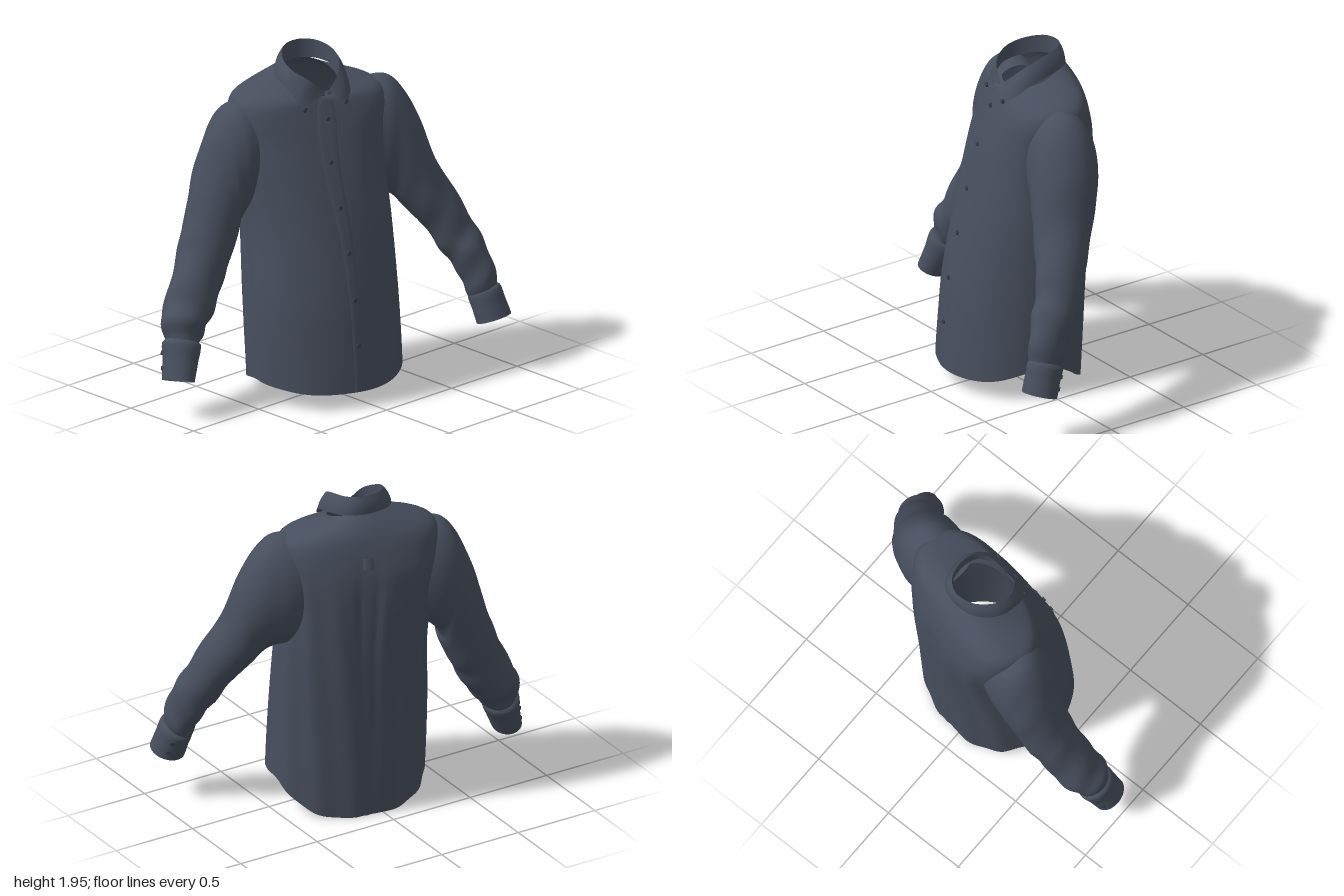
import * as THREE from 'three';

const fabric = new THREE.MeshStandardMaterial({ color: 0x474e5d, side: THREE.DoubleSide });
fabric.name = 'slate fabric';
const buttonMat = new THREE.MeshStandardMaterial({ color: 0x363c48 });
buttonMat.name = 'dark button';

const V = (x, y, z) => new THREE.Vector3(x, y, z);

// smooth lookup in rows of [key, ...values]
function sample(rows, k) {
  const n = rows.length;
  let i = 0;
  while (i < n - 2 && k > rows[i + 1][0]) i++;
  const p0 = rows[Math.max(i - 1, 0)], p1 = rows[i], p2 = rows[i + 1], p3 = rows[Math.min(i + 2, n - 1)];
  const h = p2[0] - p1[0];
  const t = Math.min(Math.max((k - p1[0]) / h, 0), 1), t2 = t * t, t3 = t2 * t;
  return p1.slice(1).map((_, j) => {
    const c = j + 1;
    const m1 = (p2[c] - p0[c]) / (p2[0] - p0[0]) * h, m2 = (p3[c] - p1[c]) / (p3[0] - p1[0]) * h;
    return (2 * t3 - 3 * t2 + 1) * p1[c] + (t3 - 2 * t2 + t) * m1 + (3 * t2 - 2 * t3) * p2[c] + (t3 - t2) * m2;
  });
}

// surface from a rule fn(u, v), u and v in 0..1
function surface(nu, nv, closed, fn) {
  const pos = [], idx = [], cols = closed ? nu : nu + 1;
  for (let j = 0; j <= nv; j++)
    for (let i = 0; i < cols; i++) pos.push(...fn(i / nu, j / nv).toArray());
  for (let j = 0; j < nv; j++)
    for (let i = 0; i < nu; i++) {
      const a = j * cols + i, b = j * cols + (i + 1) % cols, c = a + cols, d = b + cols;
      idx.push(a, b, d, a, d, c);
    }
  const g = new THREE.BufferGeometry();
  g.setAttribute('position', new THREE.Float32BufferAttribute(pos, 3));
  g.setIndex(idx);
  g.computeVertexNormals();
  return g;
}

// torso sections: height, centre x, centre z, half width, half depth, turn, tilt, back and front roundness
const torsoRows = [
  [0.00, 0.018, 0.00, 0.445, 0.387, 0.20, 0, 0.90, 1.04],
  [0.30, 0.018, -0.02, 0.445, 0.385, 0.20, 0, 0.89, 1.02],
  [0.60, 0.02, -0.045, 0.438, 0.378, 0.21, 0, 0.87, 0.98],
  [1.00, 0.035, -0.10, 0.42, 0.35, 0.26, 0, 0.82, 0.90],
  [1.30, 0.03, -0.152, 0.418, 0.318, 0.31, 0, 0.75, 0.82],
  [1.50, 0.035, -0.18, 0.435, 0.285, 0.33, 0, 0.73, 0.78],
  [1.62, 0.04, -0.185, 0.45, 0.255, 0.32, 0.03, 0.76, 0.78],
  [1.70, 0.04, -0.185, 0.435, 0.23, 0.30, 0.07, 0.82, 0.84],
  [1.74, 0.04, -0.18, 0.37, 0.213, 0.28, 0.12, 0.88, 0.90],
  [1.77, 0.035, -0.173, 0.27, 0.19, 0.28, 0.22, 0.95, 0.95],
  [1.80, 0.03, -0.165, 0.17, 0.16, 0.28, 0.35, 1, 1],
];
const spow = (s, e) => Math.sign(s) * Math.abs(s) ** e;

// point on the torso; angle 0 is the front, +90 degrees the wearer's left
function torsoPoint(ang, y, off = 0) {
  const [cx, cz, a, b, turn, tilt, eBack, eFront] = sample(torsoRows, y);
  const s = Math.sin(ang), c = Math.cos(ang), e = c > 0 ? eFront : eBack;
  const fade = Math.min(1, Math.max(0, (1.6 - y) * 4));
  const pleat = Math.abs(Math.abs(ang - Math.PI) - 0.05);
  const drape = c < 0.3 ? 0.005 * Math.sin(ang * 13 + y * 2) : 0.003 * Math.sin(ang * 7 + y * 4);
  const groove = 0.006 + 0.01 * Math.max(0, y - 0.6);
  const r = off + fade * (drape * Math.min(1, Math.abs(c - 0.3) * 3) - groove * Math.exp(-((pleat / 0.03) ** 2)));
  const lx = a * spow(s, e) + r * s, lz = b * spow(c, e) + r * c;
  const z = lx * Math.sin(turn) + lz * Math.cos(turn);
  return V(cx + lx * Math.cos(turn) - lz * Math.sin(turn), y - tilt * z, cz + z);
}

// curved shirt-tail hem
function hemY(ang) {
  const s = Math.sin(ang), c = Math.cos(ang), side = Math.abs(s) ** (c < 0 ? 3.5 : 5);
  const base = 0.046 + 0.046 * Math.tanh(c * 4);
  return base * (1 - side) + (0.155 + 0.03 * s) * side;
}

// point on the front of the torso at a given x, lifted forward
function onFront(x, y, lift) {
  let lo = -1.5, hi = 1.5;
  for (let i = 0; i < 30; i++) {
    const m = (lo + hi) / 2;
    if (torsoPoint(m, y).x < x) lo = m; else hi = m;
  }
  return torsoPoint(lo, y).add(V(0, 0, lift));
}

// sleeve sections: key, outer x, y, inner x, y, centre z, half depth
const leftSleeve = [
  [0, 0.31, 1.69, 0.34, 1.14, -0.10, 0.175], [1, 0.48, 1.715, 0.42, 1.05, -0.06, 0.195],
  [2, 0.59, 1.64, 0.49, 1.03, -0.015, 0.19], [3, 0.685, 1.44, 0.53, 0.98, 0.035, 0.176],
  [4, 0.745, 1.20, 0.585, 0.90, 0.09, 0.158], [5, 0.83, 1.02, 0.64, 0.82, 0.15, 0.14],
  [6, 0.89, 0.84, 0.69, 0.71, 0.215, 0.128], [7, 0.935, 0.70, 0.735, 0.62, 0.28, 0.125],
  [8, 0.945, 0.55, 0.77, 0.52, 0.335, 0.115], [9, 0.95, 0.44, 0.795, 0.43, 0.365, 0.095],
];
const leftCuff = [
  [0, 0.945, 0.475, 0.81, 0.45, 0.355, 0.08], [0.2, 0.965, 0.46, 0.79, 0.435, 0.362, 0.105],
  [1, 0.98, 0.39, 0.795, 0.36, 0.39, 0.103], [2, 1.00, 0.30, 0.80, 0.28, 0.42, 0.10],
];
const rightSleeve = [
  [0, -0.23, 1.69, -0.27, 1.14, -0.275, 0.18], [1, -0.39, 1.705, -0.355, 1.05, -0.312, 0.195],
  [2, -0.495, 1.615, -0.41, 0.98, -0.328, 0.185], [3, -0.57, 1.44, -0.42, 0.92, -0.335, 0.17],
  [4, -0.63, 1.26, -0.45, 0.85, -0.33, 0.16], [5, -0.69, 1.08, -0.51, 0.73, -0.325, 0.15],
  [6, -0.75, 0.92, -0.57, 0.63, -0.31, 0.14], [7, -0.86, 0.71, -0.65, 0.51, -0.29, 0.135],
  [8, -0.93, 0.58, -0.71, 0.44, -0.27, 0.122], [9, -0.935, 0.46, -0.765, 0.39, -0.25, 0.10],
];
const rightCuff = [
  [0, -0.93, 0.465, -0.775, 0.405, -0.255, 0.08], [0.2, -0.952, 0.45, -0.758, 0.375, -0.248, 0.11],
  [1, -0.97, 0.36, -0.80, 0.29, -0.225, 0.105], [2, -1.00, 0.25, -0.85, 0.195, -0.20, 0.10],
];

function tubePoint(rows, ang, v, wrinkle) {
  const last = rows[rows.length - 1][0], k = v * last;
  const mid = q => { const w = sample(rows, q); return V((w[0] + w[2]) / 2, (w[1] + w[3]) / 2, w[4]); };
  const w = sample(rows, k), c = mid(k);
  const dir = mid(Math.min(k + 0.3, last)).sub(mid(Math.max(k - 0.3, 0)));
  const a = V((w[0] - w[2]) / 2, (w[1] - w[3]) / 2, 0);
  const b = V(0, 0, 0).crossVectors(a, dir).normalize().multiplyScalar(w[5]);
  if (b.z < 0) b.negate();
  // folds deepen towards the elbow and wrist
  const amp = wrinkle * (0.008 + 0.045 * THREE.MathUtils.smoothstep(v, 0.45, 0.8));
  const f = 1 + amp * (Math.sin(v * 42 + 2.2 * Math.sin(ang + 0.6)) * 0.7 + Math.sin(v * 25 - 3 * Math.cos(ang)) * 0.5);
  return c.addScaledVector(a, Math.cos(ang) * f).addScaledVector(b, Math.sin(ang) * f);
}

export function createModel() {
  const shirt = new THREE.Group();
  shirt.name = 'shirt';
  const add = (name, geo, mat = fabric) => {
    const m = new THREE.Mesh(geo, mat);
    m.name = name;
    shirt.add(m);
    return m;
  };
  const buttonGeo = new THREE.CylinderGeometry(0.012, 0.014, 0.012, 14);
  const addButton = (name, p, normal) => {
    const m = add(name, buttonGeo, buttonMat);
    m.position.copy(p);
    m.quaternion.setFromUnitVectors(V(0, 1, 0), normal.normalize());
  };
  const TAU = Math.PI * 2;

  // body
  add('torso', surface(180, 100, true, (u, v) => {
    const h = hemY(u * TAU);
    return torsoPoint(u * TAU, h + v * (1.8 - h));
  }));

  // button placket and its buttons
  const placketAngle = y => -0.05 + 0.06 * y / 1.7;
  add('placket', surface(6, 50, false, (u, v) => {
    const y = 0.095 + v * 1.635;
    return torsoPoint(placketAngle(y) + (u - 0.5) * 0.15, y, u === 0 || u === 1 ? 0 : 0.004);
  }));
  for (const y of [0.36, 0.62, 0.88, 1.13, 1.38, 1.62])
    addButton('frontButton', torsoPoint(placketAngle(y), y, 0.007), V(-0.22, 0.2, 1));

  // locker loop at the top of the back pleat
  add('backLoop', surface(4, 8, false, (u, v) =>
    torsoPoint(Math.PI + (u - 0.5) * 0.05, 1.56 + v * 0.06, u === 0 || u === 1 ? 0 : 0.008)));

  // sleeves, cuffs and cuff buttons
  for (const [side, sleeve, cuff] of [['left', leftSleeve, leftCuff], ['right', rightSleeve, rightCuff]]) {
    add(side + 'Sleeve', surface(44, 90, true, (u, v) => tubePoint(sleeve, u * TAU, v, 1)));
    add(side + 'Cuff', surface(36, 20, true, (u, v) => tubePoint(cuff, u * TAU, v, 0)));
    for (const v of [0.35, 0.72]) {
      const p = tubePoint(cuff, -0.95, v, 0);
      addButton(side + 'CuffButton', p, p.clone().sub(tubePoint(cuff, Math.PI - 0.95, v, 0)));
    }
  }

  // collar from the right tip round the neck to the left tip
  const rightTip = onFront(-0.15, 1.675, 0.008), leftTip = onFront(0.095, 1.688, 0.008);
  const fold = new THREE.CatmullRomCurve3([
    V(-0.01, 1.75, 0.015), V(-0.095, 1.83, -0.02), V(-0.14, 1.88, -0.11), V(-0.115, 1.915, -0.21), V(-0.02, 1.945, -0.3),
    V(0.09, 1.95, -0.31), V(0.16, 1.947, -0.25), V(0.18, 1.93, -0.14), V(0.16, 1.89, -0.05), V(0.1, 1.825, 0.005), V(0.015, 1.75, 0.02),
  ]);
  const edge = new THREE.CatmullRomCurve3([
    rightTip, onFront(-0.175, 1.755, 0.01), V(-0.185, 1.79, -0.12), V(-0.155, 1.82, -0.23), V(-0.05, 1.845, -0.325),
    V(0.1, 1.85, -0.33), V(0.19, 1.85, -0.28), V(0.222, 1.825, -0.14), V(0.205, 1.79, -0.04), onFront(0.16, 1.76, 0.01), leftTip,
  ]);
  add('collarLeaf', surface(80, 8, false, (u, v) => {
    const t = fold.getPoint(u), p = t.clone().lerp(edge.getPoint(u), v);
    const out = V(t.x - 0.03, 0.05, t.z + 0.16).normalize();
    return p.addScaledVector(out, 0.008 * Math.sin(v * Math.PI));
  }));
  add('collarStand', surface(80, 4, false, (u, v) => {
    const t = fold.getPoint(u);
    return V(t.x, t.y - v * (0.11 - 0.07 * (2 * u - 1) ** 2), t.z);
  }));
  for (const tip of [rightTip, leftTip])
    addButton('collarButton', tip.clone().add(V(0, 0.014, 0)), V(-0.1, 0.35, 1));
  return shirt;
}
